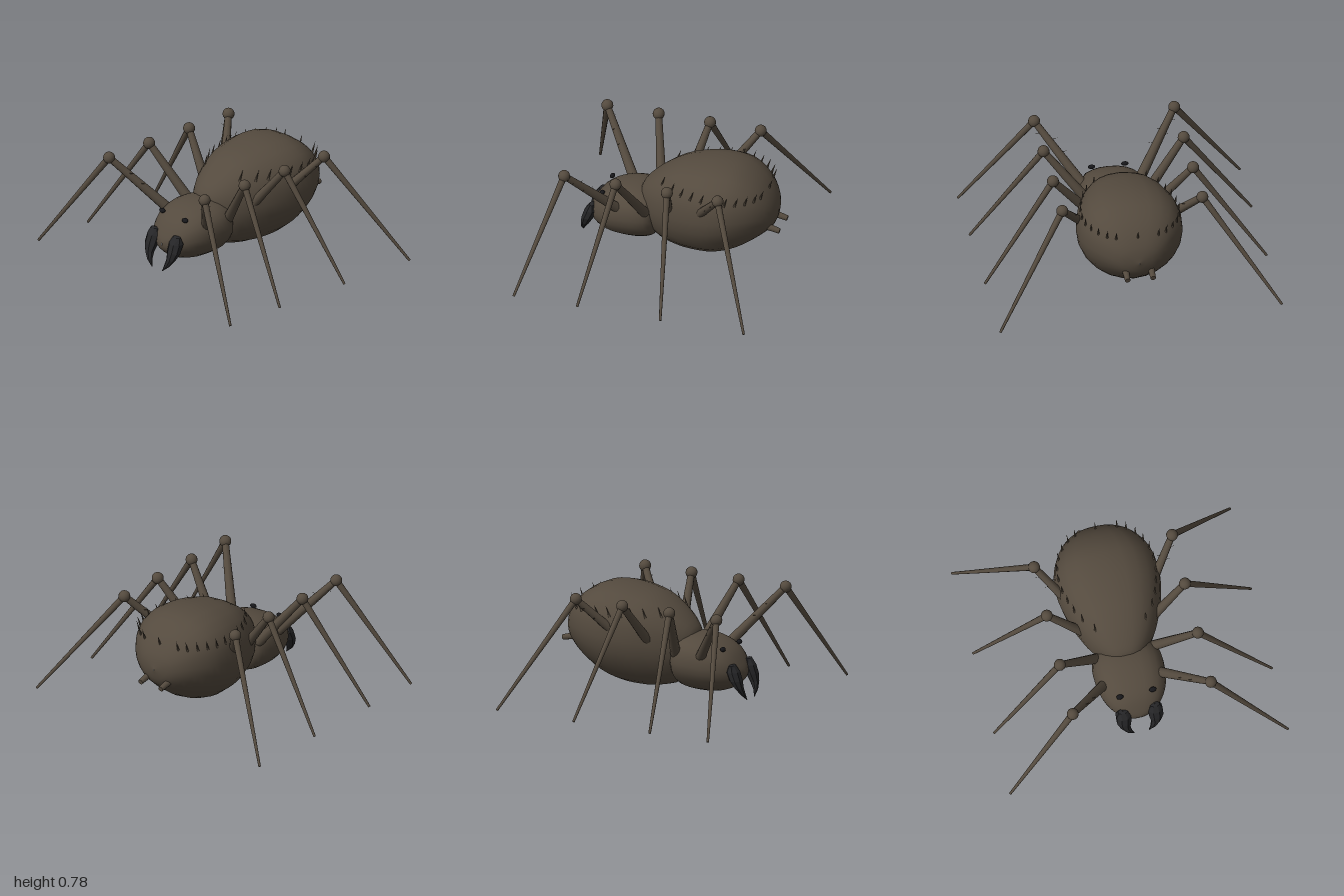
import * as THREE from 'three';

const mat = (name, color, flatShading = false) => {
  const m = new THREE.MeshStandardMaterial({ color, flatShading });
  m.name = name;
  return m;
};

// Closed skin over a list of rings with equal point counts
function skin(rings) {
  const n = rings[0].length, pos = [], idx = [];
  rings.forEach(r => r.forEach(p => pos.push(p.x, p.y, p.z)));
  for (let i = 0; i < rings.length - 1; i++) {
    for (let j = 0; j < n; j++) {
      const a = i * n + j, b = i * n + (j + 1) % n;
      idx.push(a, a + n, b, b, a + n, b + n);
    }
  }
  const g = new THREE.BufferGeometry();
  g.setAttribute('position', new THREE.Float32BufferAttribute(pos, 3));
  g.setIndex(idx);
  g.computeVertexNormals();
  return g;
}

// Smooth sections from [z, top, bottom, halfWidth] stations
function sections(stations, count) {
  const curve = f => new THREE.CatmullRomCurve3(stations.map(f), false, 'catmullrom', 0.5);
  const upper = curve(s => new THREE.Vector3(s[3], s[1], s[0]));
  const lower = curve(s => new THREE.Vector3(0, s[2], s[0]));
  return Array.from({ length: count + 1 }, (_, i) => {
    const u = upper.getPoint(i / count), l = lower.getPoint(i / count);
    return { z: u.z, w: Math.max(u.x, 0.001), top: u.y, bottom: l.y, mid: l.y + 0.54 * (u.y - l.y) };
  });
}

const UPPER = 2.4, LOWER = 1.9;   // squarer back, rounder belly
function bodyGeometry(secs, sides) {
  return skin(secs.map(s => Array.from({ length: sides }, (_, j) => {
    const a = j / sides * Math.PI * 2, c = Math.cos(a), k = Math.sin(a);
    const e = 2 / (k >= 0 ? UPPER : LOWER);
    const h = k >= 0 ? s.top - s.mid : s.mid - s.bottom;
    return new THREE.Vector3(
      s.w * Math.sign(c) * Math.abs(c) ** e,
      s.mid + h * Math.sign(k) * Math.abs(k) ** e, s.z);
  })));
}

// Tapered rod between two points
function rod(name, from, to, r0, r1, material, sides = 10) {
  const a = new THREE.Vector3(...from), b = new THREE.Vector3(...to);
  const d = b.clone().sub(a);
  const m = new THREE.Mesh(new THREE.CylinderGeometry(r1, r0, d.length(), sides), material);
  m.position.copy(a).addScaledVector(d, 0.5);
  m.quaternion.setFromUnitVectors(new THREE.Vector3(0, 1, 0), d.normalize());
  m.name = name;
  return m;
}

function ball(name, at, r, material) {
  const m = new THREE.Mesh(new THREE.SphereGeometry(r, 14, 10), material);
  m.position.set(...at);
  m.name = name;
  return m;
}

export function createModel() {
  const model = new THREE.Group();
  model.name = 'spider';
  const brown = mat('brown body', 0x544a3e);
  const black = mat('black fang', 0x252527, true);
  const eyeBlack = mat('eye black', 0x17171a);
  const add = (name, geometry, material) => {
    const m = new THREE.Mesh(geometry, material);
    m.name = name;
    model.add(m);
    return m;
  };

  // Abdomen
  const abdomen = sections([
    [0.215, 0.43, 0.40, 0.002], [0.19, 0.51, 0.27, 0.11], [0.08, 0.615, 0.11, 0.22],
    [-0.06, 0.70, 0.06, 0.295], [-0.2, 0.74, 0.05, 0.345], [-0.36, 0.76, 0.065, 0.37],
    [-0.52, 0.742, 0.13, 0.345], [-0.66, 0.66, 0.23, 0.26], [-0.75, 0.54, 0.32, 0.14],
    [-0.78, 0.43, 0.42, 0.002],
  ], 27);
  add('abdomen', bodyGeometry(abdomen, 24), brown);

  // Head and thorax
  const head = sections([
    [0.585, 0.235, 0.215, 0.002], [0.565, 0.285, 0.17, 0.09], [0.50, 0.38, 0.115, 0.175],
    [0.40, 0.442, 0.08, 0.23], [0.28, 0.472, 0.071, 0.25], [0.17, 0.47, 0.08, 0.243],
    [0.09, 0.43, 0.12, 0.19], [0.05, 0.28, 0.26, 0.002],
  ], 21);
  add('head', bodyGeometry(head, 24), brown);

  // Row of spines round the abdomen, all rising from one height
  const spineY = 0.6;
  const spine = (x, z) => model.add(
    rod('spine', [x, spineY - 0.01, z], [x * 1.02, spineY + 0.068, z - 0.028], 0.009, 0.0005, brown, 6));
  spine(0, -0.705);
  for (const z of [0.02, -0.07, -0.15, -0.23, -0.31, -0.4, -0.48, -0.55, -0.61, -0.66, -0.69]) {
    const i = abdomen.findIndex(s => s.z <= z), p = abdomen[i - 1], q = abdomen[i];
    const t = (p.z - z) / (p.z - q.z), mix = k => p[k] + (q[k] - p[k]) * t;
    const h = Math.min(1, Math.max(0, (spineY - mix('mid')) / (mix('top') - mix('mid'))));
    const x = mix('w') * (1 - h ** UPPER) ** (1 / UPPER);
    spine(x, z);
    spine(-x, z);
  }

  // Legs: [hip, knee z, foot z, hairy]
  const legs = [
    [[0.2, 0.36, 0.34], 0.63, 0.84, true],
    [[0.2, 0.36, 0.14], 0.255, 0.377, false],
    [[0.2, 0.37, -0.035], -0.12, -0.23, false],
    [[0.23, 0.37, -0.2], -0.49, -0.84, true],
  ];
  for (const s of [1, -1]) {
    const side = s > 0 ? 'left' : 'right';
    legs.forEach(([hip, kneeZ, footZ, hairy], n) => {
      const leg = new THREE.Group();
      leg.name = `${side}Leg${n + 1}`;
      const h = [s * hip[0], hip[1], hip[2]], k = [s * 0.495, 0.735, kneeZ];
      leg.add(
        ball('hip', h, 0.037, brown),
        rod('upperLeg', h, k, 0.037, 0.024, brown),
        ball('knee', k, 0.042, brown),
        rod('lowerLeg', k, [s * 0.995, 0.006, footZ], 0.024, 0.009, brown));
      // Fine hairs crossing the upper leg
      if (hairy) for (let i = 0; i < 4; i++) {
        const t = 0.5 + i * 0.1;
        const [x, y, z] = h.map((v, c) => v + (k[c] - v) * t);
        leg.add(rod('hair', [x - s * 0.01, y, z], [x + s * (i % 2 ? 0.06 : -0.06), y + 0.012, z], 0.004, 0.0005, brown, 5));
      }
      model.add(leg);
    });

    // Fang: [x, y, z, radius x, radius z]
    const rings = [
      [0.115, 0.312, 0.545, 0.002, 0.002], [0.115, 0.305, 0.545, 0.035, 0.02],
      [0.113, 0.26, 0.55, 0.056, 0.05], [0.115, 0.2, 0.575, 0.054, 0.045],
      [0.11, 0.145, 0.597, 0.036, 0.032], [0.088, 0.095, 0.618, 0.022, 0.016],
      [0.052, 0.05, 0.628, 0.002, 0.002],
    ].map(([x, y, z, rx, rz]) => Array.from({ length: 8 }, (_, j) => {
      const a = (j + 0.5) / 8 * Math.PI * 2;
      return new THREE.Vector3(s * x + rx * Math.cos(a), y, z - rz * Math.sin(a));
    }));
    add(`${side}Fang`, skin(rings), black);

    // Eye
    const eye = ball(`${side}Eye`, [s * 0.118, 0.41, 0.472], 0.026, eyeBlack);
    eye.scale.set(1, 0.6, 0.7);
    eye.rotation.x = 0.6;
    model.add(eye);

    // Spinneret
    model.add(rod(`${side}Spinneret`, [s * 0.09, 0.345, -0.7], [s * 0.09, 0.318, -0.815], 0.026, 0.019, brown));
  }
  return model;
}
